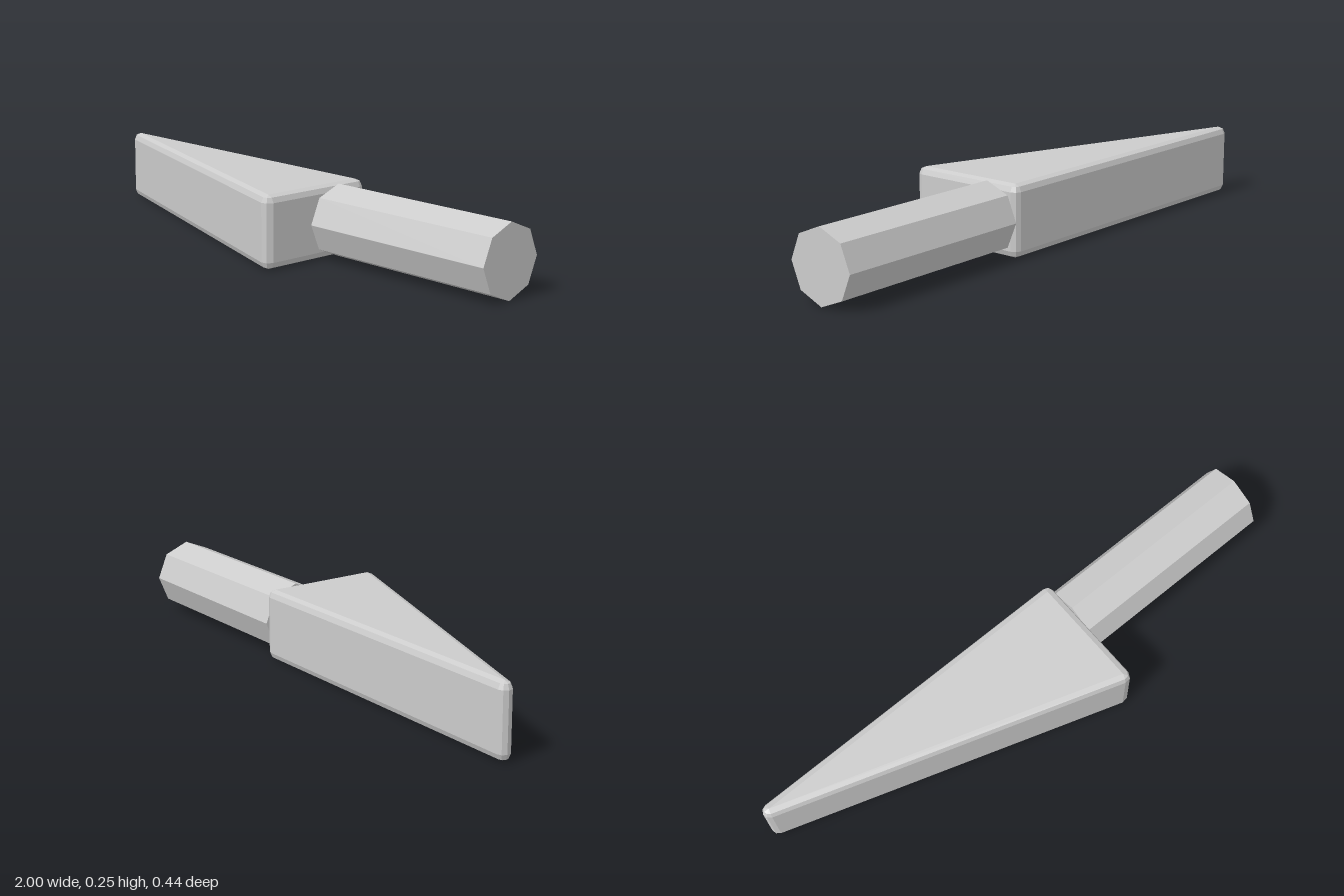
import * as THREE from 'three';
import { ConvexGeometry } from 'three/addons/geometries/ConvexGeometry.js';

const material = new THREE.MeshStandardMaterial({ color: 0xcccccc, flatShading: true });

// Triangular prism with every edge and corner rounded
function roundedWedge(corners, r, bottom, top) {
  const points = [];
  const rad = THREE.MathUtils.degToRad;
  for (const { x, z, from, to, steps } of corners) {
    for (const [y, sign] of [[bottom + r, -1], [top - r, 1]]) {
      points.push(new THREE.Vector3(x, y + sign * r, z));
      for (const tilt of [0, 45]) {
        const out = r * Math.cos(rad(tilt));
        const rise = sign * r * Math.sin(rad(tilt));
        for (let i = 0; i <= steps; i++) {
          const a = rad(from + (to - from) * i / steps);
          points.push(new THREE.Vector3(x + out * Math.cos(a), y + rise, z + out * Math.sin(a)));
        }
      }
    }
  }
  return new ConvexGeometry(points);
}

export function createModel() {
  const group = new THREE.Group();
  group.name = 'wedgeTool';

  // Wedge blade: tip, back corner and front corner with their rounding arcs
  const r = 0.025;
  const slope = THREE.MathUtils.radToDeg(Math.atan2(1.198, -0.394));
  const blade = new THREE.Mesh(roundedWedge([
    { x: -0.975, z: -0.197, from: slope, to: 270, steps: 4 },
    { x: 0.223, z: -0.197, from: 270, to: 360, steps: 2 },
    { x: 0.223, z: 0.197, from: 0, to: slope, steps: 2 },
  ], r, 0, 0.25), material);
  blade.name = 'wedgeBlade';
  group.add(blade);

  // Eight-sided handle
  const handle = new THREE.Mesh(new THREE.CylinderGeometry(0.125, 0.125, 0.752, 8), material);
  handle.name = 'handle';
  handle.rotation.z = -Math.PI / 2;
  handle.position.set(0.624, 0.125, -0.097);
  group.add(handle);

  return group;
}
